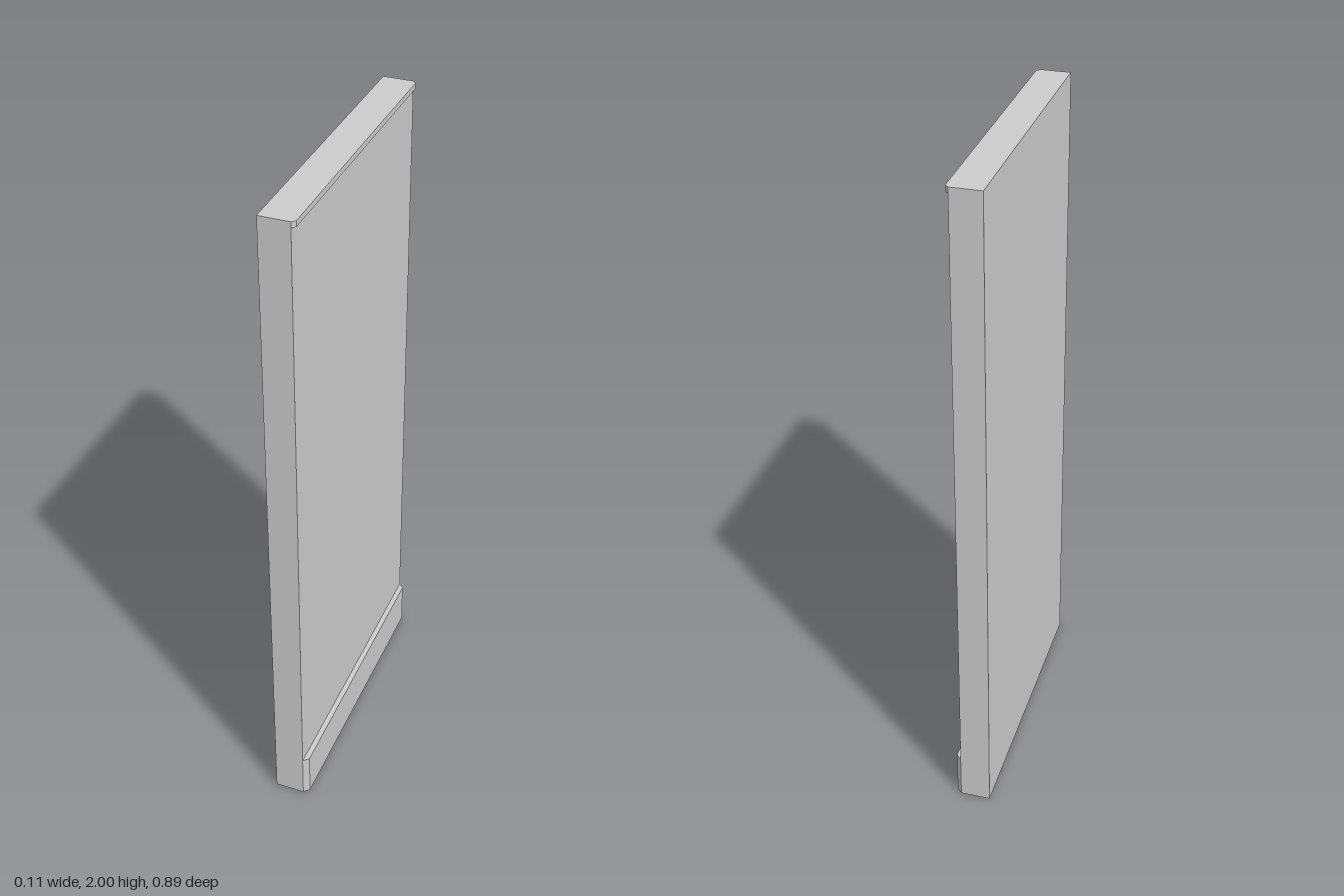
import * as THREE from 'three';

const HALF = 0.443;   // half the wall length
const BACK = -0.053;  // plain side
const FACE = 0.037;   // side that carries the trim

export function createModel() {
  const group = new THREE.Group();
  group.name = 'wallPanel';
  const material = new THREE.MeshStandardMaterial({ color: 0xcccccc, flatShading: true });

  // Strip along the wall face, with its ends mitred at 45 degrees
  function addTrim(name, depth, y0, y1) {
    const shape = new THREE.Shape([
      new THREE.Vector2(FACE, -HALF),
      new THREE.Vector2(FACE + depth, -HALF + depth),
      new THREE.Vector2(FACE + depth, HALF - depth),
      new THREE.Vector2(FACE, HALF),
    ]);
    const geometry = new THREE.ExtrudeGeometry(shape, { depth: y1 - y0, bevelEnabled: false });
    geometry.rotateX(-Math.PI / 2);
    const mesh = new THREE.Mesh(geometry, material);
    mesh.name = name;
    mesh.position.y = y0;
    group.add(mesh);
  }

  // Wall slab
  const wall = new THREE.Mesh(new THREE.BoxGeometry(FACE - BACK, 2, HALF * 2), material);
  wall.name = 'wall';
  wall.position.set((FACE + BACK) / 2, 1, 0);
  group.add(wall);

  // Skirting at the foot and a thin cornice at the top
  addTrim('skirtingBoard', 0.016, 0, 0.14);
  addTrim('cornice', 0.01, 1.983, 2);

  return group;
}
